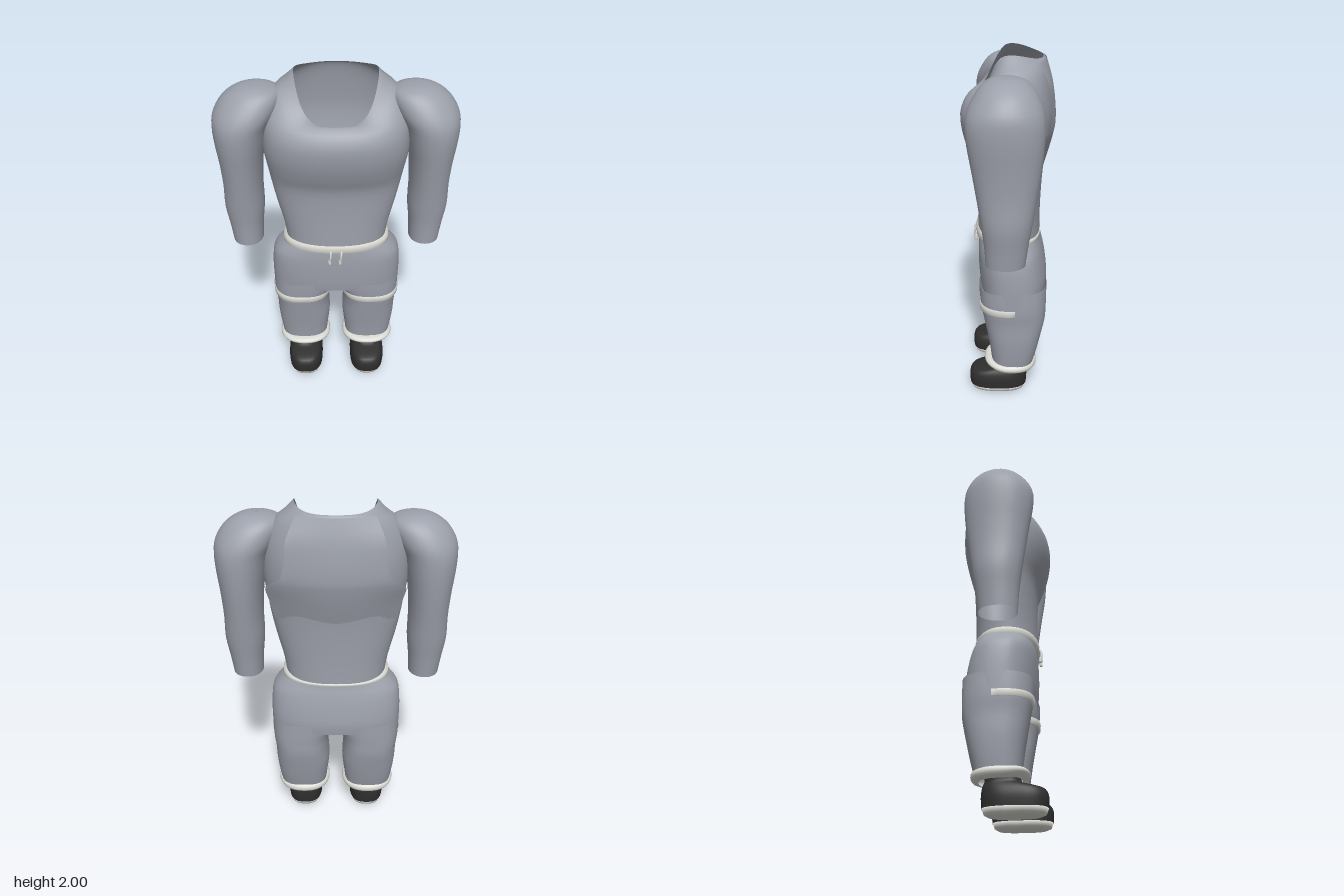
import * as THREE from 'three';

const mat = (name, color) => {
  const m = new THREE.MeshStandardMaterial({ color, side: THREE.DoubleSide });
  m.name = name;
  return m;
};

const smooth = (t) => t * t * (3 - 2 * t);

// Catmull-Rom refinement of a list of number rows
function refine(rows, steps) {
  if (steps < 2) return rows;
  const out = [];
  const at = (i) => rows[Math.max(0, Math.min(rows.length - 1, i))];
  for (let i = 0; i < rows.length - 1; i++) {
    for (let k = 0; k < steps; k++) {
      const t = k / steps;
      out.push(rows[i].map((p1, c) => {
        const p0 = at(i - 1)[c], p2 = at(i + 1)[c], p3 = at(i + 2)[c];
        return p1 + 0.5 * t * (p2 - p0 + t * (2 * p0 - 5 * p1 + 4 * p2 - p3 + t * (3 * (p1 - p2) + p3 - p0)));
      }));
    }
  }
  out.push(rows[rows.length - 1]);
  return out;
}

// Grid surface; point(i, j) returns [x, y, z]
function grid(rows, cols, closed, point) {
  const pos = [], idx = [];
  const n = closed ? cols : cols + 1;
  for (let i = 0; i < rows; i++) for (let j = 0; j < n; j++) pos.push(...point(i, j));
  for (let i = 0; i < rows - 1; i++) {
    for (let j = 0; j < cols; j++) {
      const a = i * n + j, b = i * n + (j + 1) % n;
      idx.push(a, a + n, b, b, a + n, b + n);
    }
  }
  const g = new THREE.BufferGeometry();
  g.setAttribute('position', new THREE.Float32BufferAttribute(pos, 3));
  g.setIndex(idx);
  g.computeVertexNormals();
  return g;
}

// Rings run upwards: [yFront, ySide, yBack, xMin, xMax, zFront, zBack]
function loft(rings, { power = 2.3, steps = 3, segs = 40, from = 0, arc = Math.PI * 2 } = {}) {
  const r = refine(rings, steps);
  const bend = (v) => Math.sign(v) * Math.abs(v) ** (2 / power);
  return grid(r.length, segs, arc > 6.28, (i, j) => {
    const [yf, ys, yb, x0, x1, zf, zb] = r[i];
    const t = from + (arc * j) / segs, c = Math.cos(t), s = Math.sin(t);
    return [
      (x0 + x1) / 2 + ((x1 - x0) / 2) * bend(c),
      ys + ((s > 0 ? yf : yb) - ys) * smooth(Math.abs(s)),
      (zf + zb) / 2 + ((zf - zb) / 2) * bend(s),
    ];
  });
}

// Level rings: [y, xMin, xMax, zFront, zBack], optionally mirrored
const level = (rows, side = 1) => rows.map(([y, a, b, f, k]) =>
  [y, y, y, side > 0 ? a : -b, side > 0 ? b : -a, f, k]);

// Rings symmetric in x: [yFront, ySide, yBack, halfWidth, zFront, zBack]
const centred = (rows) => rows.map(([f, s, b, w, zf, zb]) => [f, s, b, -w, w, zf, zb]);

export function createModel() {
  const root = new THREE.Group();
  const cloth = mat('greyCloth', 0x9ca0aa);
  const trim = mat('offWhiteTrim', 0xdcdcd6);
  const black = mat('blackLeather', 0x2e2e2e);
  const add = (name, geometry, material) => {
    const m = new THREE.Mesh(geometry, material);
    m.name = name;
    root.add(m);
    return m;
  };

  // Shirt body, rising to an open scooped neckline
  add('shirtBody', loft(centred([
    [1.0, 0.99, 0.985, 0.285, 0.172, -0.185],
    [1.1, 1.1, 1.1, 0.3, 0.17, -0.185],
    [1.25, 1.25, 1.25, 0.335, 0.17, -0.19],
    [1.38, 1.38, 1.38, 0.36, 0.18, -0.2],
    [1.47, 1.48, 1.48, 0.375, 0.215, -0.215],
    [1.57, 1.58, 1.58, 0.39, 0.247, -0.235],
    [1.67, 1.69, 1.69, 0.39, 0.258, -0.245],
    [1.735, 1.8, 1.8, 0.375, 0.235, -0.235],
    [1.765, 1.9, 1.9, 0.325, 0.205, -0.22],
    [1.775, 1.955, 1.955, 0.26, 0.185, -0.205],
    [1.77, 2.0, 1.97, 0.215, 0.17, -0.19],
  ]), { segs: 56 }), cloth);

  // Raised back panel that flares under the shoulder blades: [y, halfWidth, zMiddle, zEdge]
  const panel = refine([
    [1.38, 0.33, 0.2, 0.12],
    [1.5, 0.355, 0.235, 0.15],
    [1.59, 0.365, 0.256, 0.185],
    [1.64, 0.29, 0.262, 0.222],
    [1.73, 0.262, 0.258, 0.228],
    [1.85, 0.25, 0.24, 0.215],
    [1.96, 0.2, 0.207, 0.165],
  ], 3);
  add('backPanel', grid(panel.length, 16, false, (i, j) => {
    const u = j / 8 - 1, [y, w, zm, ze] = panel[i];
    return [w * u, y, -(zm + (ze - zm) * u * u)];
  }), cloth);

  // Trouser seat
  add('trouserHips', loft(centred([
    [0.675, 0.62, 0.66, 0.379, 0.158, -0.225],
    [0.73, 0.72, 0.73, 0.381, 0.165, -0.23],
    [0.82, 0.82, 0.82, 0.379, 0.17, -0.218],
    [0.9, 0.9, 0.9, 0.367, 0.17, -0.2],
    [0.95, 0.95, 0.95, 0.33, 0.167, -0.185],
    [0.985, 0.985, 0.98, 0.295, 0.163, -0.178],
  ]), { power: 2.6, segs: 56 }), cloth);

  // Crotch gusset joining both legs
  const gusset = add('crotchGusset', new THREE.SphereGeometry(1, 24, 16), cloth);
  gusset.scale.set(0.1, 0.055, 0.17);
  gusset.position.set(0, 0.705, -0.03);

  // Waistband, taller at the front
  add('waistband', loft(centred([
    [0.972, 0.972, 0.972, 0.295, 0.168, -0.182],
    [0.978, 0.976, 0.974, 0.308, 0.182, -0.19],
    [1.015, 1.01, 0.988, 0.306, 0.182, -0.19],
    [1.022, 1.016, 0.99, 0.285, 0.168, -0.18],
  ]), { steps: 1, segs: 56 }), trim);

  // Drawstring ends with knobs
  for (const x of [-0.04, 0.02]) {
    const path = new THREE.CatmullRomCurve3([
      new THREE.Vector3(x + 0.008, 0.995, 0.18),
      new THREE.Vector3(x + 0.006, 0.96, 0.193),
      new THREE.Vector3(x, 0.915, 0.187),
    ]);
    add('drawstring', new THREE.TubeGeometry(path, 10, 0.006, 8), trim);
    add('drawstringTip', new THREE.CapsuleGeometry(0.009, 0.018, 4, 10), trim).position.set(x, 0.918, 0.187);
  }

  for (const side of [1, -1]) {
    const tag = side > 0 ? 'left' : 'right';

    // Sleeve with open wrist and rounded shoulder
    add(tag + 'Sleeve', loft(level([
      [0.985, 0.425, 0.598, 0.108, -0.1],
      [1.1, 0.418, 0.612, 0.115, -0.115],
      [1.22, 0.405, 0.628, 0.13, -0.135],
      [1.36, 0.405, 0.625, 0.15, -0.155],
      [1.5, 0.395, 0.632, 0.172, -0.175],
      [1.62, 0.375, 0.644, 0.192, -0.187],
      [1.72, 0.35, 0.648, 0.2, -0.19],
      [1.79, 0.31, 0.636, 0.187, -0.18],
      [1.86, 0.28, 0.592, 0.15, -0.15],
      [1.905, 0.29, 0.535, 0.11, -0.11],
      [1.928, 0.35, 0.475, 0.06, -0.06],
      [1.932, 0.41, 0.412, 0.001, -0.001],
    ], side), { power: 2.1 }), cloth);

    // Trouser leg
    add(tag + 'TrouserLeg', loft(level([
      [0.21, 0.06, 0.342, 0.092, -0.155],
      [0.3, 0.05, 0.355, 0.102, -0.178],
      [0.4, 0.04, 0.365, 0.118, -0.2],
      [0.5, 0.046, 0.368, 0.136, -0.22],
      [0.58, 0.04, 0.377, 0.15, -0.224],
      [0.65, 0.015, 0.379, 0.158, -0.226],
      [0.72, 0.003, 0.378, 0.162, -0.226],
    ], side), { power: 2.6 }), cloth);

    // Knee band around the front half only
    add(tag + 'KneeBand', loft(level([
      [0.58, 0.042, 0.372, 0.148, -0.222],
      [0.583, 0.033, 0.383, 0.16, -0.228],
      [0.617, 0.033, 0.384, 0.163, -0.23],
      [0.621, 0.042, 0.374, 0.15, -0.222],
    ], side), { power: 2.6, steps: 1, from: -0.03, arc: Math.PI + 0.06 }), trim);

    // Turned cuff, hanging lower at the back
    add(tag + 'Cuff', loft([
      [0.18, 0.17, 0.168, 0.085, 0.32, 0.095, -0.13],
      [0.196, 0.182, 0.176, 0.05, 0.348, 0.125, -0.165],
      [0.215, 0.203, 0.197, 0.04, 0.36, 0.136, -0.172],
      [0.23, 0.22, 0.215, 0.05, 0.352, 0.122, -0.166],
      [0.232, 0.225, 0.222, 0.065, 0.338, 0.088, -0.152],
    ].map(([f, s, b, x0, x1, zf, zb]) => [f, s, b, side > 0 ? x0 : -x1, side > 0 ? x1 : -x0, zf, zb]),
    { steps: 2 }), trim);

    // Shoe upper, open at the ankle
    add(tag + 'Shoe', loft([
      [0.038, 0.038, 0.038, 0.092, 0.303, 0.224, -0.114],
      [0.09, 0.09, 0.09, 0.09, 0.306, 0.228, -0.117],
      [0.13, 0.13, 0.13, 0.1, 0.298, 0.212, -0.114],
      [0.148, 0.155, 0.155, 0.118, 0.284, 0.16, -0.108],
      [0.163, 0.168, 0.168, 0.134, 0.276, 0.1, -0.1],
      [0.195, 0.195, 0.195, 0.136, 0.274, 0.085, -0.1],
    ].map(([f, s, b, x0, x1, zf, zb]) => [f, s, b, side > 0 ? x0 : -x1, side > 0 ? x1 : -x0, zf, zb]),
    { power: 2.7 }), black);

    // Sole with flat underside and insole
    add(tag + 'Sole', loft(level([
      [0, 0.196, 0.198, 0.056, 0.054],
      [0, 0.125, 0.27, 0.185, -0.08],
      [0.012, 0.102, 0.293, 0.213, -0.103],
      [0.04, 0.092, 0.303, 0.223, -0.113],
      [0.042, 0.196, 0.198, 0.056, 0.054],
    ], side), { power: 2.7, steps: 1 }), trim);
  }
  return root;
}
